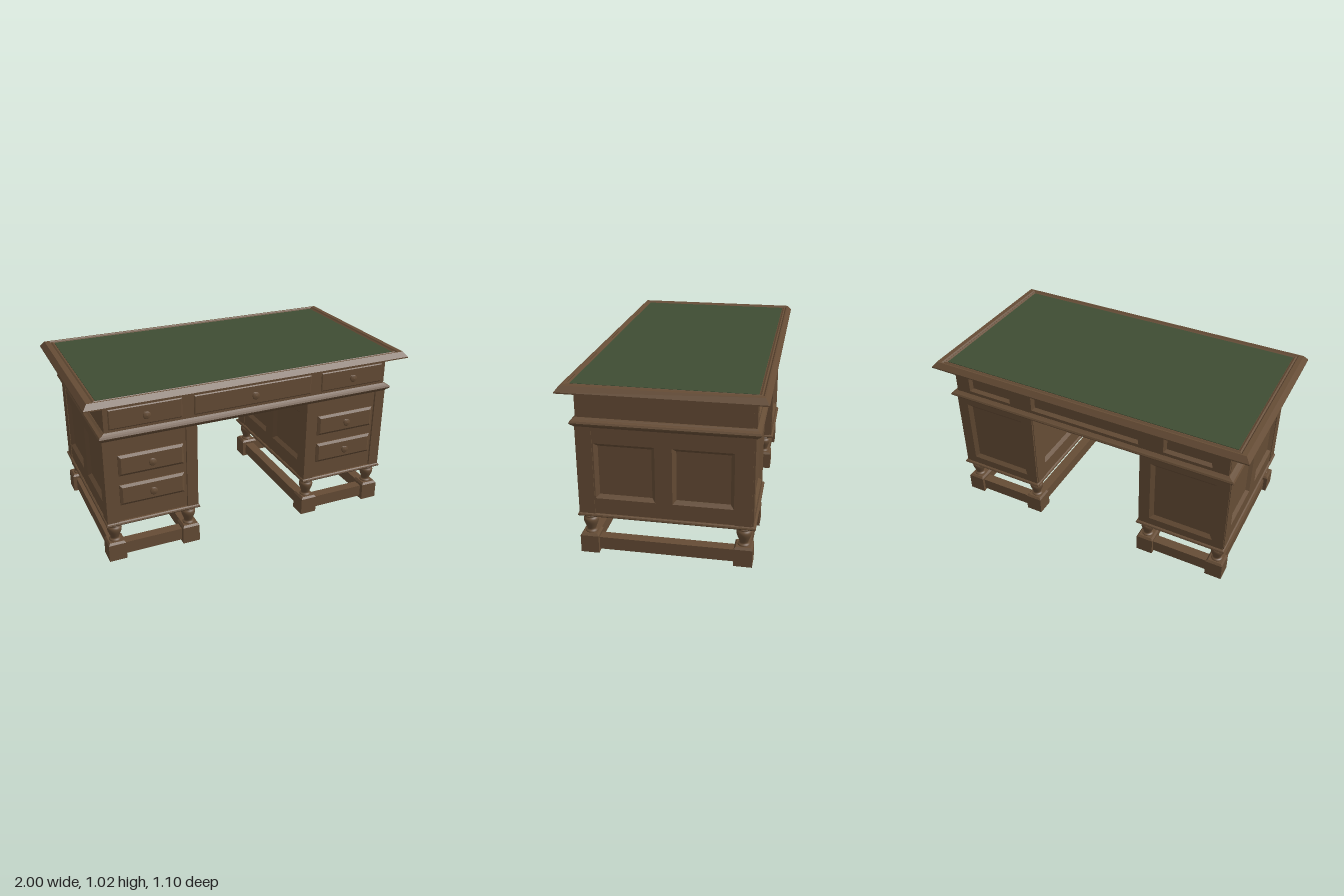
import * as THREE from 'three';

const wood = new THREE.MeshStandardMaterial({ color: 0x654c35 });
wood.name = 'brownWood';
const leather = new THREE.MeshStandardMaterial({ color: 0x3f4d33 });
leather.name = 'greenLeather';

function add(parent, name, geometry, x = 0, y = 0, z = 0, material = wood) {
  const mesh = new THREE.Mesh(geometry, material);
  mesh.name = name;
  mesh.position.set(x, y, z);
  parent.add(mesh);
  return mesh;
}

const box = (w, h, d) => new THREE.BoxGeometry(w, h, d);

function quadGeometry(quads) {
  const points = [];
  for (const [a, b, c, d] of quads) points.push(...a, ...b, ...c, ...a, ...c, ...d);
  const geometry = new THREE.BufferGeometry();
  geometry.setAttribute('position', new THREE.Float32BufferAttribute(points, 3));
  geometry.computeVertexNormals();
  return geometry;
}

// Stack of rectangles [half width, half depth, height], closed at both ends
function loft(sections) {
  const rings = sections.map(([x, z, y]) => [[-x, y, z], [x, y, z], [x, y, -z], [-x, y, -z]]);
  const quads = [[...rings[0]].reverse(), rings[rings.length - 1]];
  for (let i = 0; i < rings.length - 1; i++) {
    for (let k = 0; k < 4; k++) {
      const n = (k + 1) % 4;
      quads.push([rings[i][k], rings[i][n], rings[i + 1][n], rings[i + 1][k]]);
    }
  }
  return quadGeometry(quads);
}

const rect = (x0, x1, y0, y1, z) => [[x0, y0, z], [x1, y0, z], [x1, y1, z], [x0, y1, z]];

// Wall with its face at z = 0 and windows [x0, x1, y0, y1] that slope inwards
function panelWall(name, x0, x1, y0, y1, depth, windows, bevel = 0.02) {
  const group = new THREE.Group();
  group.name = name;
  const toPath = (Type, r) => new Type(r.map(([x, y]) => new THREE.Vector2(x, y)));
  const shape = toPath(THREE.Shape, rect(x0, x1, y0, y1, 0));
  const slopes = [];
  for (const [a, b, c, d] of windows) {
    const outer = rect(a, b, c, d, 0);
    const inner = rect(a + bevel, b - bevel, c + bevel, d - bevel, -depth);
    shape.holes.push(toPath(THREE.Path, [...outer].reverse()));
    for (let k = 0; k < 4; k++) {
      const n = (k + 1) % 4;
      slopes.push([outer[k], outer[n], inner[n], inner[k]]);
    }
  }
  add(group, 'panelFrame', new THREE.ExtrudeGeometry(shape, { depth, bevelEnabled: false }), 0, 0, -depth);
  add(group, 'panelMoulding', quadGeometry(slopes));
  return group;
}

const lathe = (profile, sides) =>
  new THREE.LatheGeometry(new THREE.SplineCurve(profile.map(([r, y]) => new THREE.Vector2(r, y))).getPoints(28), sides);

const knobGeometry = lathe([[0.016, 0], [0.01, 0.004], [0.01, 0.01], [0.021, 0.014], [0.02, 0.02], [0.001, 0.025]], 20);
const legGeometry = lathe([
  [0.034, 0.11], [0.034, 0.122], [0.024, 0.13], [0.03, 0.15], [0.041, 0.18],
  [0.042, 0.2], [0.034, 0.212], [0.038, 0.218], [0.03, 0.226], [0.036, 0.238],
], 24);

// Raised drawer front with sloping edges and a round knob
function drawer(parent, name, x0, x1, y0, y1, z, depth, bevel) {
  const group = new THREE.Group();
  group.name = name;
  const w = (x1 - x0) / 2, h = (y1 - y0) / 2;
  const front = add(group, 'drawerFront', loft([[w, h, 0], [w, h, depth * 0.4], [w - bevel, h - bevel, depth]]));
  front.rotation.x = Math.PI / 2;
  const knob = add(group, 'drawerKnob', knobGeometry, 0, 0, depth);
  knob.rotation.x = Math.PI / 2;
  group.position.set((x0 + x1) / 2, (y0 + y1) / 2, z);
  parent.add(group);
}

function pedestal(side) {
  const group = new THREE.Group();
  group.name = side > 0 ? 'leftPedestal' : 'rightPedestal';
  const cx = side * 0.628, half = 0.27, t = 0.02;

  add(group, 'pedestalCore', box(2 * (half - t), 0.53, 0.94), cx, 0.51, 0.005);

  // Panelled sides and back
  for (const s of [1, -1]) {
    const windows = [[0.055, 0.39], [-0.375, -0.04]].map(([a, b]) => {
      const ends = [-s * a, -s * b].sort((p, q) => p - q);
      return [...ends, 0.345, 0.675];
    });
    const wall = panelWall('pedestalSide', -0.483, 0.483, 0.245, 0.775, t, windows);
    wall.position.x = cx + s * half;
    wall.rotation.y = s * Math.PI / 2;
    group.add(wall);
  }
  const back = panelWall('pedestalBack', -half + t, half - t, 0.245, 0.775, t, [[-0.2, 0.2, 0.3, 0.725]], 0.025);
  back.position.set(cx, 0, -0.483);
  back.rotation.y = Math.PI;
  group.add(back);

  // Corner posts
  for (const sx of [1, -1]) {
    add(group, 'cornerPost', box(0.066, 0.53, 0.09), cx + sx * 0.241, 0.51, 0.442);
    add(group, 'cornerPost', box(0.066, 0.53, 0.09), cx + sx * 0.241, 0.51, -0.428);
  }

  add(group, 'pedestalBase', loft([[0.28, 0.492, 0.233], [0.283, 0.496, 0.239], [0.28, 0.493, 0.247], [0.272, 0.486, 0.252]]), cx);
  for (const [y0, y1] of [[0.54, 0.667], [0.355, 0.482]]) {
    drawer(group, 'pedestalDrawer', cx - 0.192, cx + 0.192, y0, y1, 0.474, 0.017, 0.015);
  }

  // Turned legs on square feet, joined by stretchers
  for (const s of [1, -1]) {
    for (const z of [0.437, -0.43]) {
      add(group, 'turnedLeg', legGeometry, cx + s * 0.227, 0, z);
      add(group, 'footBlock', loft([[0.052, 0.052, 0], [0.052, 0.052, 0.105], [0.042, 0.042, 0.117]]), cx + s * 0.227, 0, z);
    }
    add(group, 'sideStretcher', box(0.06, 0.075, 0.78), cx + s * 0.227, 0.053, 0.003);
    add(group, 'crossStretcher', box(0.37, 0.075, 0.06), cx, 0.053, s * 0.434);
  }
  return group;
}

export function createModel() {
  const desk = new THREE.Group();
  desk.name = 'pedestalDesk';

  // Writing top with bevelled rim and leather inlay
  add(desk, 'deskTop', loft([
    [1, 0.55, 0.985], [1, 0.55, 0.992], [0.975, 0.527, 1.022], [0.947, 0.519, 1.022],
    [0.94, 0.511, 1.015], [0.932, 0.504, 1.021], [0.922, 0.494, 1.015],
  ]));
  add(desk, 'leatherInlay', box(0.92 * 2, 0.006, 0.49 * 2), 0, 1.015, 0, leather);

  // Apron with a panelled back
  add(desk, 'apron', loft([
    [0.886, 0.475, 0.8], [0.886, 0.475, 0.957], [0.872, 0.462, 0.972], [0.872, 0.462, 0.988],
  ]), 0, 0, 0.01);
  const apronBack = panelWall('apronBack', -0.884, 0.884, 0.8, 0.957, 0.02,
    [[-0.79, -0.5, 0.838, 0.932], [-0.35, 0.35, 0.838, 0.932], [0.5, 0.79, 0.838, 0.932]], 0.014);
  apronBack.position.z = -0.485;
  apronBack.rotation.y = Math.PI;
  desk.add(apronBack);
  for (const [x0, x1] of [[-0.86, -0.44], [-0.37, 0.37], [0.44, 0.86]]) {
    drawer(desk, 'apronDrawer', x0, x1, 0.833, 0.95, 0.484, 0.007, 0.006);
  }

  // Moulding around the bottom of the apron
  add(desk, 'waistMoulding', loft([
    [0.9, 0.488, 0.767], [0.908, 0.496, 0.776], [0.918, 0.506, 0.784], [0.922, 0.511, 0.793],
    [0.916, 0.506, 0.803], [0.9, 0.496, 0.81], [0.888, 0.486, 0.818],
  ]));

  for (const side of [1, -1]) desk.add(pedestal(side));
  return desk;
}
